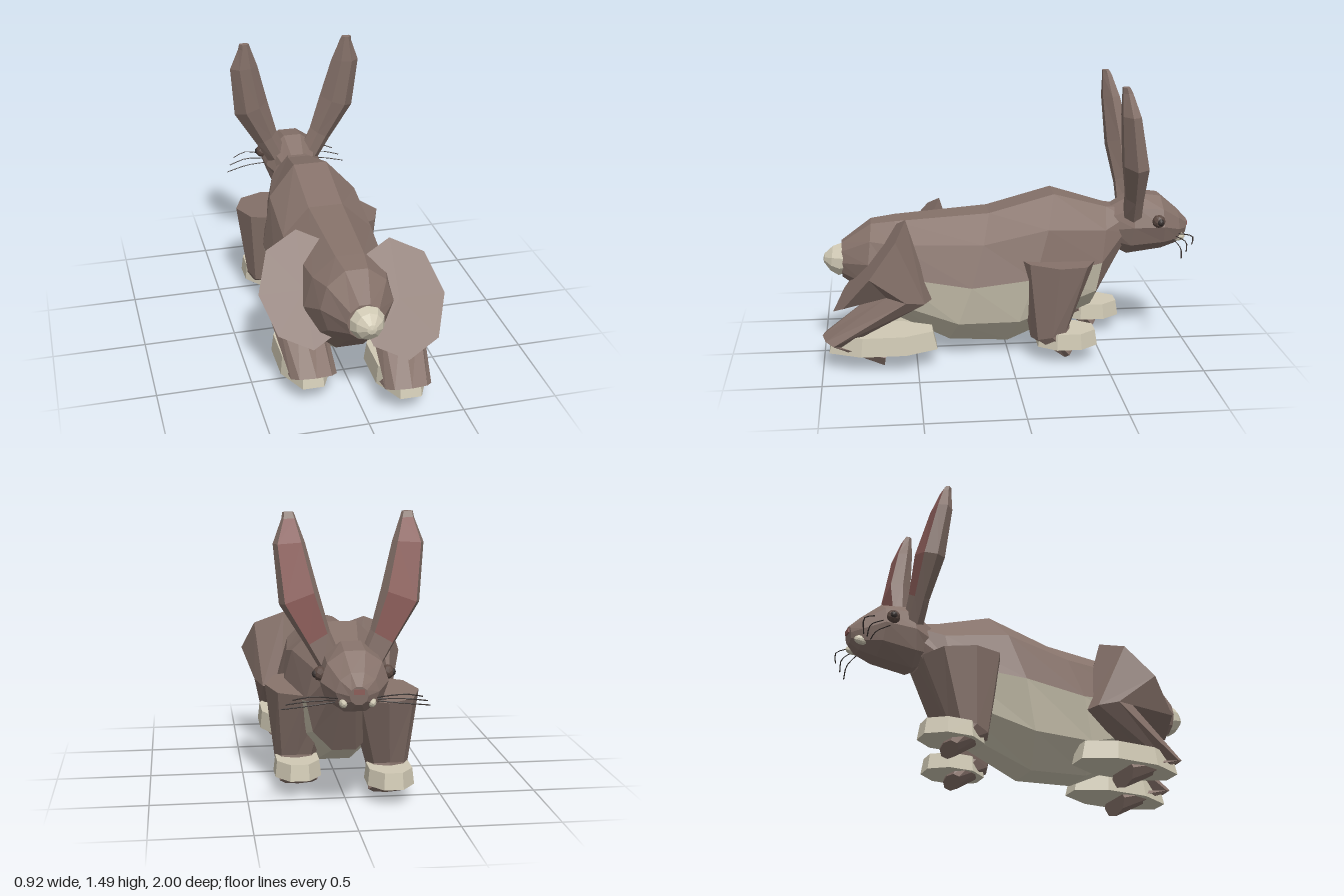
import * as THREE from 'three';

const mat = (name, color) => {
  const m = new THREE.MeshStandardMaterial({ color, flatShading: true });
  m.name = name;
  return m;
};

// Closed, capped loft through rings of points; paint(i, j) picks a material index per quad
function loft(rings, paint = () => 0) {
  const tris = [[], []];
  const n = rings[0].length;
  for (let i = 0; i < rings.length - 1; i++) {
    for (let j = 0; j < n; j++) {
      const k = (j + 1) % n;
      const [a, b, c, d] = [rings[i][j], rings[i][k], rings[i + 1][k], rings[i + 1][j]];
      tris[paint(i, j)].push([a, b, c], [a, c, d]);
    }
  }
  const cap = (ring, flip) => {
    const mid = ring.reduce((s, p) => s.add(p), new THREE.Vector3()).divideScalar(n);
    for (let j = 0; j < n; j++) {
      const a = ring[j], b = ring[(j + 1) % n];
      tris[0].push(flip ? [mid, b, a] : [mid, a, b]);
    }
  };
  cap(rings[0], true);
  cap(rings[rings.length - 1], false);
  // Turn the surface outward whichever way the rings run
  let volume = 0;
  const cross = new THREE.Vector3();
  for (const [a, b, c] of tris.flat()) volume += a.dot(cross.crossVectors(b, c));
  const pos = [];
  const g = new THREE.BufferGeometry();
  tris.forEach((list, m) => {
    const start = pos.length / 3;
    for (const [a, b, c] of list) {
      for (const p of volume < 0 ? [a, c, b] : [a, b, c]) pos.push(p.x, p.y, p.z);
    }
    if (list.length) g.addGroup(start, pos.length / 3 - start, m);
  });
  g.setAttribute('position', new THREE.Float32BufferAttribute(pos, 3));
  g.computeVertexNormals();
  return g;
}

// Ring leaning between two (z, y) points, with half width hw about x
function ring(z1, y1, z2, y2, hw, x = 0, n = 10, half = true) {
  const stretch = half ? 1 / Math.cos(Math.PI / n) : 1;
  return Array.from({ length: n }, (_, j) => {
    const a = ((j + (half ? 0.5 : 0)) / n) * Math.PI * 2;
    const c = Math.cos(a) * stretch / 2;
    return new THREE.Vector3(x + hw * Math.sin(a),
      (y1 + y2) / 2 + (y1 - y2) * c, (z1 + z2) / 2 + (z1 - z2) * c);
  });
}

export function createModel() {
  const fur = mat('brown fur', 0x86726a);
  const cream = mat('cream fur', 0xd0c9b4);
  const pink = mat('ear pink', 0x8c5d59);
  const dark = mat('dark whisker', 0x3a3331);
  const eyeBrown = mat('eye brown', 0x5c4a43);

  const model = new THREE.Group();
  model.name = 'rabbit';
  const add = (name, geometry, material, x = 0, y = 0, z = 0) => {
    const mesh = new THREE.Mesh(geometry, material);
    mesh.name = name;
    mesh.position.set(x, y, z);
    model.add(mesh);
    return mesh;
  };

  // Body with a cream belly
  const body = [
    ring(0.89, 0.63, 0.89, 0.44, 0.09),
    ring(0.73, 0.74, 0.77, 0.36, 0.19),
    ring(0.6, 0.755, 0.62, 0.23, 0.24),
    ring(0.1, 0.79, 0.32, 0.085, 0.3),
    ring(-0.25, 0.885, 0, 0.065, 0.3),
    ring(-0.54, 0.8, -0.46, 0.25, 0.2),
    ring(-0.65, 0.79, -0.62, 0.54, 0.11),
  ];
  add('body', loft(body, (i, j) => (i >= 2 && i <= 4 && j >= 2 && j <= 6 ? 1 : 0)), [fur, cream]);

  // Head
  const head = [
    ring(-0.56, 0.79, -0.58, 0.57, 0.11),
    ring(-0.7, 0.87, -0.66, 0.53, 0.16),
    ring(-0.84, 0.85, -0.85, 0.555, 0.165),
    ring(-0.94, 0.765, -0.94, 0.58, 0.105),
    ring(-0.995, 0.71, -0.985, 0.62, 0.045),
  ];
  add('head', loft(head), fur);
  add('nose', new THREE.BoxGeometry(0.05, 0.025, 0.01), pink, 0, 0.685, -0.995);

  // Tail
  const tailProfile = [[0, 0], [0.075, 0], [0.092, 0.035], [0.07, 0.08], [0.025, 0.12], [0, 0.125]];
  const tail = add('tail', new THREE.LatheGeometry(
    tailProfile.map(p => new THREE.Vector2(...p)), 10), cream, 0.01, 0.53, 0.865);
  tail.rotation.x = Math.PI / 2 - 0.12;

  for (const s of [1, -1]) {
    const side = s > 0 ? 'left' : 'right';
    const stride = s > 0 ? 0 : -0.2;

    // Legs: [z1, y1, z2, y2, half width, x]
    const leg = (name, rows) => add(side + name, loft(rows.map(([z1, y1, z2, y2, hw, x]) =>
      ring(z1 + stride, y1, z2 + stride, y2, hw, x * s, 8, false))), fur);
    leg('HindLeg', [
      [0.55, 0.8, 0.94, 0.31, 0.24, 0.22],
      [0.42, 0.37, 0.7, 0.43, 0.145, 0.25],
      [0.88, 0.13, 1.0, 0.18, 0.12, 0.22],
      [0.66, 0.15, 0.68, 0.005, 0.11, 0.22],
    ]);
    leg('FrontLeg', [
      [-0.46, 0.54, -0.03, 0.575, 0.19, 0.2],
      [-0.32, 0.19, -0.11, 0.13, 0.11, 0.23],
      [-0.34, 0.08, -0.28, 0.02, 0.1, 0.22],
    ]);

    // Feet
    const foot = (name, z, y, w, h, l) => {
      const g = new THREE.CylinderGeometry(0.92, 1, 1, 8);
      g.rotateY(Math.PI / 8);
      const k = 0.5 / Math.cos(Math.PI / 8);
      add(side + name, g, cream, 0.228 * s, y, z + stride).scale.set(w * k, h, l * k);
    };
    foot('HindFoot', 0.68, 0.15, 0.27, 0.1, 0.57);
    foot('FrontFoot', -0.305, 0.132, 0.24, 0.085, 0.32);

    // Ears: [inner x, inner y, outer x, outer y, front z, back z]
    const ear = [
      [0.05, 0.8, 0.15, 0.73, -0.72, -0.63],
      [0.1, 0.92, 0.22, 0.85, -0.715, -0.625],
      [0.155, 1.12, 0.345, 1.05, -0.715, -0.59],
      [0.215, 1.35, 0.37, 1.34, -0.66, -0.57],
      [0.255, 1.46, 0.325, 1.46, -0.62, -0.57],
      [0.265, 1.49, 0.32, 1.49, -0.605, -0.57],
    ].map(([xi, yi, xo, yo, zf, zb]) =>
      [[0, 0.5], [0.3, 1], [0.7, 1], [1, 0.5], [0.87, 0], [0.13, 0]].map(([u, v]) =>
        new THREE.Vector3(s * (xi + (xo - xi) * u), yi + (yo - yi) * u, zf + (zb - zf) * v)));
    add(side + 'Ear', loft(ear, (i, j) => (j === 4 && i >= 1 && i <= 3 ? 1 : 0)), [fur, pink]);

    // Eyes with a dark pupil
    const eye = add(side + 'Eye', new THREE.IcosahedronGeometry(0.036, 1), eyeBrown,
      s * 0.165, 0.737, -0.81);
    eye.scale.x = 0.9;
    add(side + 'Pupil', new THREE.IcosahedronGeometry(0.02, 1), dark, s * 0.184, 0.737, -0.815);

    // Cream lips
    add(side + 'Lip', new THREE.IcosahedronGeometry(1, 1), cream, s * 0.068, 0.622, -0.935)
      .scale.set(0.022, 0.026, 0.045);

    // Whiskers
    [[0.31, -0.955, 0.66], [0.34, -0.92, 0.63], [0.36, -0.89, 0.6]].forEach(([x, z, y], i) => {
      const path = new THREE.CatmullRomCurve3([
        new THREE.Vector3(s * 0.07, 0.64 - i * 0.01, -0.93 + i * 0.015),
        new THREE.Vector3(s * 0.23, y + 0.005, z - 0.027),
        new THREE.Vector3(s * x, y - 0.015, z),
      ]);
      add(side + 'Whisker', new THREE.TubeGeometry(path, 6, 0.003, 4), dark);
    });
  }
  return model;
}
